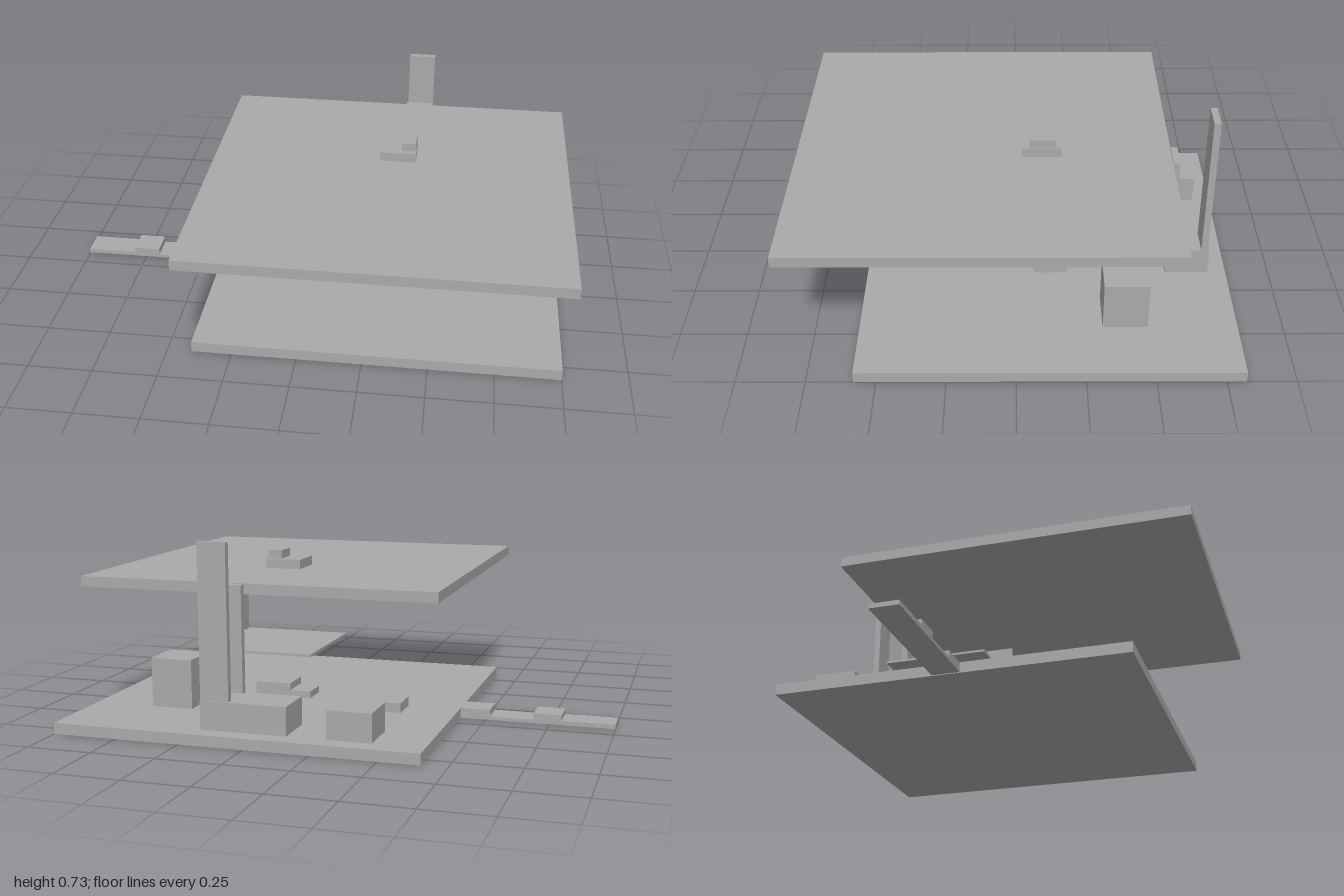
import * as THREE from 'three';

export function createModel() {
  const model = new THREE.Group();
  model.name = 'platformModel';
  const grey = new THREE.MeshStandardMaterial({ color: 0xaaaaaa });
  grey.name = 'plain grey';

  // Box given by its limits along each axis
  const block = (name, [x0, x1], [y0, y1], [z0, z1], parent = model) => {
    const mesh = new THREE.Mesh(new THREE.BoxGeometry(x1 - x0, y1 - y0, z1 - z0), grey);
    mesh.position.set((x0 + x1) / 2, (y0 + y1) / 2, (z0 + z1) / 2);
    mesh.name = name;
    parent.add(mesh);
  };
  const group = (name) => {
    const g = new THREE.Group();
    g.name = name;
    model.add(g);
    return g;
  };
  const floor = 0.042;

  // Two large slabs, the upper one shifted forward
  block('baseSlab', [-0.405, 1], [0, floor], [-0.82, 0.58]);
  block('roofSlab', [-0.405, 1], [0.52, 0.56], [-0.58, 0.82]);

  // Rear tower: low block carrying two upright panels
  const tower = group('tower');
  block('towerBase', [0.107, 0.44], [floor, 0.15], [-0.75, -0.582], tower);
  block('frontUpright', [0.33, 0.44], [0.15, 0.557], [-0.608, -0.582], tower);
  block('rearUpright', [0.33, 0.44], [0.15, 0.73], [-0.744, -0.718], tower);

  // Blocks standing on the base
  block('rearBlock', [-0.212, -0.043], [floor, 0.15], [-0.75, -0.582]);
  block('tallBlock', [0.593, 0.76], [floor, 0.235], [-0.487, -0.32]);
  block('lowBlock', [-0.2, -0.055], [floor, 0.08], [-0.32, -0.2]);

  // Stepped block on the base
  const step = group('baseStep');
  block('baseStepHigh', [0.293, 0.44], [floor, 0.098], [-0.2, -0.07], step);
  block('baseStepLow', [0.208, 0.293], [floor, 0.07], [-0.2, -0.09], step);

  // Small stepped block on the roof
  const cap = group('roofStep');
  block('roofStepLow', [0.257, 0.4], [0.56, 0.597], [-0.17, -0.025], cap);
  block('roofStepHigh', [0.342, 0.398], [0.597, 0.63], [-0.15, -0.05], cap);

  // Thin shelf with an upright side wall, between the slabs
  const shelf = group('shelf');
  block('shelfPlate', [0.075, 0.513], [0.296, 0.306], [-0.57, -0.135], shelf);
  block('shelfWall', [0.49, 0.508], [0.306, 0.487], [-0.565, -0.142], shelf);

  // Side walkway with alternating heights
  const walkway = group('walkway');
  [[-1, -0.797, 0.02], [-0.797, -0.69, 0.042], [-0.69, -0.52, 0.016], [-0.52, -0.405, 0.042]]
    .forEach(([x0, x1, top], i) =>
      block(`walkwaySection${i + 1}`, [x0, x1], [0.003, top], [-0.18, -0.07], walkway));

  return model;
}
